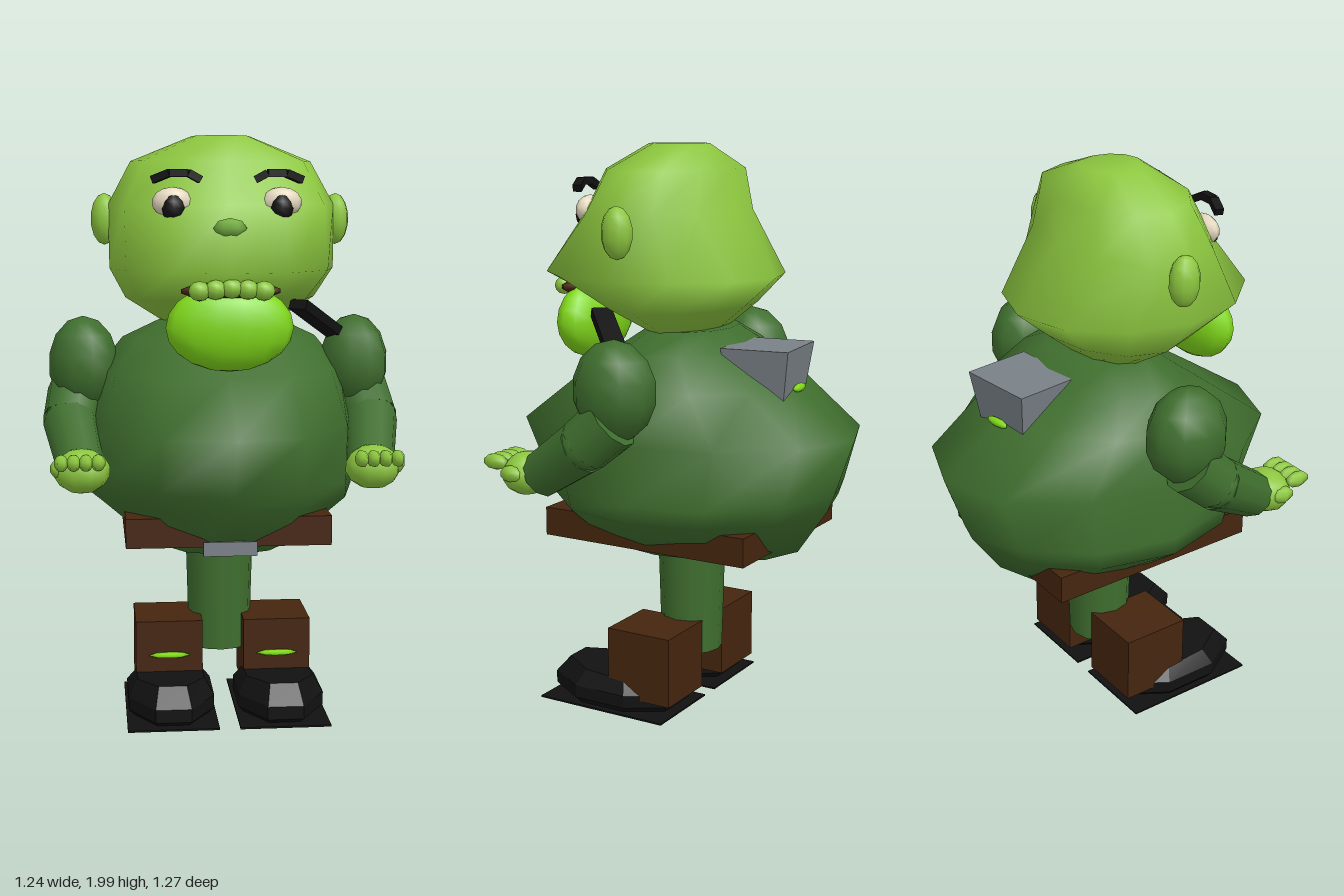
import * as THREE from 'three';
import { toCreasedNormals } from 'three/addons/utils/BufferGeometryUtils.js';

const mat = (name, color) => {
  const m = new THREE.MeshStandardMaterial({ color });
  m.name = name;
  return m;
};

// Stack of oval rings; each ring is [y, half width, front z, back z]
function loft(rings, sides, phase = 0) {
  const pos = [], idx = [];
  for (const [y, rx, zf, zb] of rings) {
    for (let j = 0; j < sides; j++) {
      const a = ((j + phase) / sides) * Math.PI * 2;
      pos.push(rx * Math.sin(a), y, (zf + zb) / 2 + ((zf - zb) / 2) * Math.cos(a));
    }
  }
  for (let i = 0; i < rings.length - 1; i++) {
    for (let j = 0; j < sides; j++) {
      const k = (j + 1) % sides, a = i * sides, b = a + sides;
      idx.push(a + j, a + k, b + k, a + j, b + k, b + j);
    }
  }
  const top = (rings.length - 1) * sides;
  for (let j = 1; j < sides - 1; j++) {
    idx.push(0, j + 1, j, top, top + j, top + j + 1);
  }
  const g = new THREE.BufferGeometry();
  g.setAttribute('position', new THREE.Float32BufferAttribute(pos, 3));
  g.setIndex(idx);
  g.computeVertexNormals();
  return g;
}

export function createModel() {
  const root = new THREE.Group();
  root.name = 'chubbyOgre';
  const skin = mat('skin green', 0x8cc63f);
  const nose = mat('nose green', 0x74ad42);
  const cloth = mat('dark green cloth', 0x3f6e2e);
  const lime = mat('lime jaw', 0x80d81a);
  const brown = mat('brown leather', 0x45250f);
  const black = mat('black', 0x111111);
  const cream = mat('eye cream', 0xe2d6bc);
  const grey = mat('metal grey', 0x7a8187);

  const add = (name, geo, m, p = [0, 0, 0], parent = root) => {
    const mesh = new THREE.Mesh(geo, m);
    mesh.name = name;
    mesh.position.set(...p);
    parent.add(mesh);
    return mesh;
  };
  const blob = (name, m, p, r, parent = root, w = 10, h = 7) =>
    add(name, new THREE.SphereGeometry(1, w, h).scale(...r), m, p, parent);
  const box = (name, m, p, s, parent = root) =>
    add(name, new THREE.BoxGeometry(...s), m, p, parent);
  // Box bar running between two points
  const bar = (name, m, a, b, w, h, parent = root) => {
    const va = new THREE.Vector3(...a), vb = new THREE.Vector3(...b);
    const mesh = box(name, m, va.clone().add(vb).multiplyScalar(0.5).toArray(),
      [w, h, va.distanceTo(vb)], parent);
    mesh.lookAt(vb);
    return mesh;
  };

  // Torso
  add('torso', loft([
    [0.61, 0.28, 0.385, -0.43], [0.77, 0.48, 0.49, -0.54], [0.83, 0.48, 0.52, -0.565],
    [1.03, 0.47, 0.635, -0.635], [1.2, 0.43, 0.385, -0.4],
    [1.31, 0.34, 0.22, -0.24], [1.375, 0.2, 0.13, -0.16],
  ], 12), cloth);
  add('legColumn', new THREE.CylinderGeometry(0.122, 0.11, 0.44, 12), cloth, [0, 0.415, -0.005]);

  // Head
  add('head', loft([
    [1.36, 0.19, 0.1, -0.1], [1.45, 0.33, 0.27, -0.21], [1.555, 0.385, 0.535, -0.33],
    [1.77, 0.388, 0.34, -0.175], [1.915, 0.31, 0.275, -0.16], [2.0, 0.1, 0.15, -0.06],
  ], 12), skin);
  blob('nose', nose, [0, 1.695, 0.405], [0.055, 0.033, 0.035], root, 6, 4);

  // Jaw, mouth and teeth
  blob('jaw', lime, [0, 1.375, 0.4], [0.21, 0.145, 0.09], root, 14, 10);
  blob('mouth', brown, [0, 1.495, 0.43], [0.165, 0.03, 0.045]);
  for (let i = -2; i <= 2; i++) {
    blob('tooth', skin, [i * 0.052, 1.505 - Math.abs(i) * 0.004, 0.465], [0.036, 0.032, 0.032], root, 8, 6);
  }

  // Belt and buckle
  box('belt', brown, [0, 0.69, -0.005], [0.69, 0.1, 0.79]);
  box('buckle', grey, [0, 0.642, 0.425], [0.18, 0.048, 0.012]);

  // Strap and back pack
  bar('strap', black, [0.25, 1.435, 0.21], [0.41, 1.32, 0.04], 0.07, 0.035);
  const pack = new THREE.Group();
  pack.name = 'backPack';
  pack.position.set(0.01, 1.24, -0.31);
  pack.rotation.y = 0.13;
  root.add(pack);
  const can = new THREE.CylinderGeometry(0.2, 0.16, 0.18, 4).rotateY(Math.PI / 4);
  add('packBody', toCreasedNormals(can, 0.5), grey, [0, 0, 0], pack).scale.set(0.98, 1, 0.85);
  blob('packTrim', lime, [0, -0.05, -0.115], [0.05, 0.014, 0.015], pack);

  // Mirrored parts
  for (const s of [-1, 1]) {
    const side = s > 0 ? 'left' : 'right';

    // Face
    blob(side + 'Ear', skin, [s * 0.4, 1.72, 0.045], [0.047, 0.088, 0.056]);
    blob(side + 'Eye', cream, [s * 0.18, 1.777, 0.297], [0.068, 0.05, 0.038]);
    blob(side + 'Pupil', black, [s * 0.178, 1.758, 0.322], [0.038, 0.045, 0.026], root, 8, 6);
    const brow = [[0.09, 1.85, 0.325], [0.13, 1.872, 0.33], [0.19, 1.872, 0.325], [0.245, 1.85, 0.305]];
    for (let i = 0; i < 3; i++) {
      const [a, b] = [brow[i], brow[i + 1]].map(([x, y, z]) => [s * x, y, z]);
      bar(side + 'Eyebrow', black, a, b, 0.03, 0.025);
    }

    // Arm
    const arm = new THREE.Group();
    arm.name = side + 'Arm';
    root.add(arm);
    blob('shoulder', cloth, [s * 0.478, 1.215, 0.01], [0.122, 0.17, 0.148], arm);
    const path = [[0.505, 1.12, 0.0], [0.525, 1.03, 0.1], [0.49, 0.9, 0.3]];
    [[0.1, 0.095], [0.095, 0.08]].forEach(([r0, r1], i) => {
      const a = new THREE.Vector3(s * path[i][0], path[i][1], path[i][2]);
      const b = new THREE.Vector3(s * path[i + 1][0], path[i + 1][1], path[i + 1][2]);
      const dir = b.clone().sub(a);
      const m = add('forearm', new THREE.CylinderGeometry(r1, r0, dir.length(), 10), cloth,
        a.clone().add(b).multiplyScalar(0.5).toArray(), arm);
      m.quaternion.setFromUnitVectors(new THREE.Vector3(0, 1, 0), dir.normalize());
    });
    blob('elbow', cloth, [s * 0.525, 1.03, 0.1], [0.095, 0.09, 0.09], arm);
    blob('hand', skin, [s * 0.487, 0.9, 0.36], [0.095, 0.075, 0.085], arm);
    for (let i = 0; i < 4; i++) {
      blob('finger', skin, [s * (0.433 + i * 0.04), 0.942, 0.445], [0.024, 0.028, 0.05], arm, 6, 5);
    }
    blob('thumb', skin, [s * 0.565, 0.91, 0.37], [0.028, 0.03, 0.045], arm, 6, 5);

    // Boot: leather shaft, trim, black shoe and thin sole
    const boot = new THREE.Group();
    boot.name = side + 'Boot';
    boot.position.x = s * 0.19;
    root.add(boot);
    box('bootShaft', brown, [0, 0.195, 0.035], [0.235, 0.25, 0.25], boot);
    blob('bootTrim', lime, [0, 0.2, 0.168], [0.075, 0.01, 0.02], boot, 8, 4);
    const shoe = loft([
      [0.01, 0.13, 0.385, -0.03], [0.045, 0.16, 0.445, -0.085],
      [0.09, 0.16, 0.445, -0.085], [0.14, 0.125, 0.385, -0.03],
    ], 8, 0.5);
    // Raise the toe and lower the heel
    const p = shoe.attributes.position;
    for (let i = 0; i < p.count; i++) {
      if (p.getY(i) > 0.1) p.setY(i, 0.125 + Math.max(0, p.getZ(i)) * 0.08);
    }
    add('shoe', toCreasedNormals(shoe, 0.3), black, [0, 0, 0], boot);
    box('sole', black, [0, 0.02, 0.175], [0.31, 0.006, 0.51], boot);
  }

  // Ground the lowest point
  const bounds = new THREE.Box3().setFromObject(root);
  root.children.forEach((c) => { c.position.y -= bounds.min.y; });
  return root;
}
